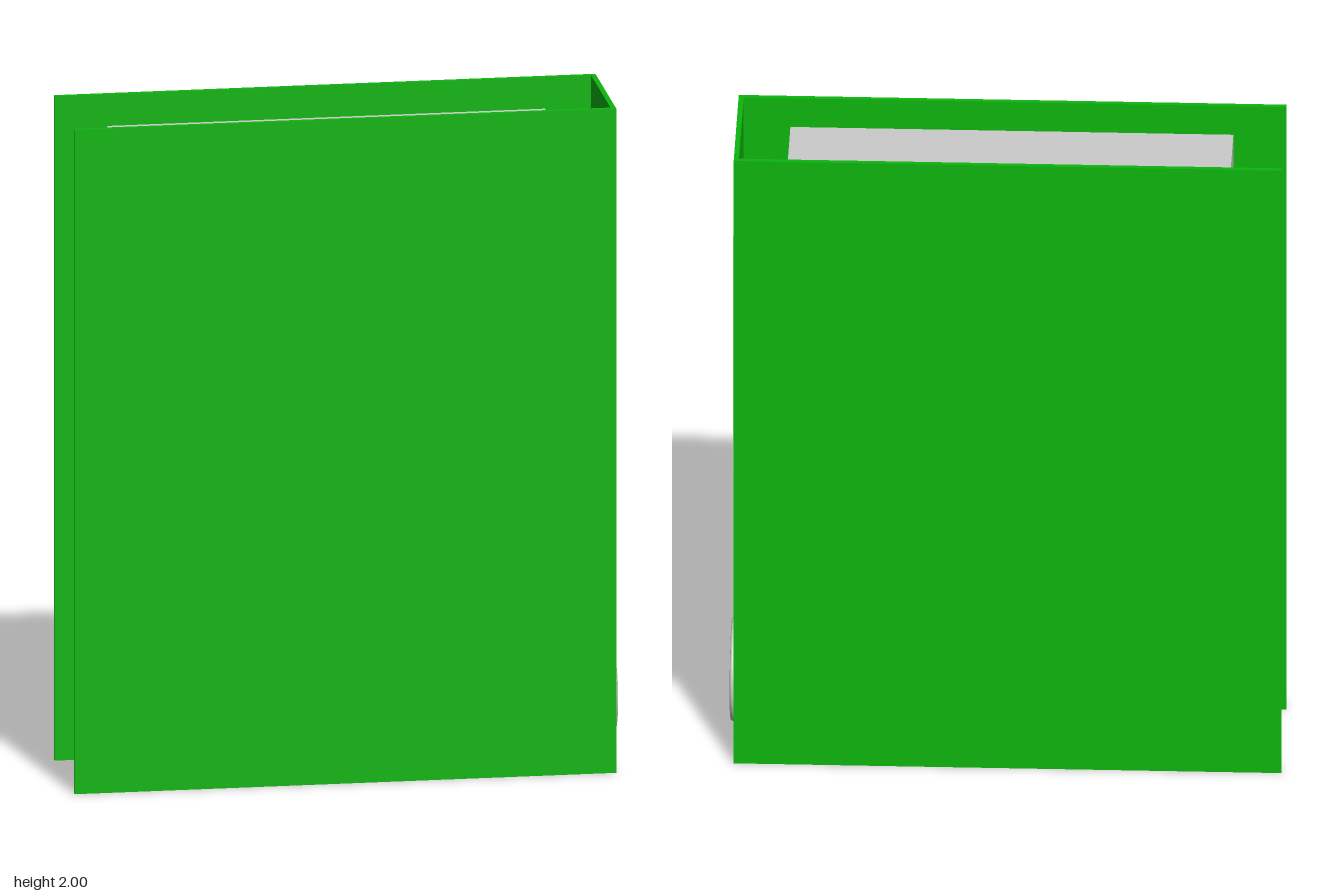
import * as THREE from 'three';

const green = new THREE.MeshStandardMaterial({ color: 0x0db50d });
const grey = new THREE.MeshStandardMaterial({ color: 0xcccccc });
const dark = new THREE.MeshStandardMaterial({ color: 0x222222 });

const LEFT = -0.805, SPINE = 0.79, HEIGHT = 2, DEPTH = 0.4, BOARD = 0.015;
const HOLE_Y = 0.205, RING_R = 0.145, RING_TUBE = 0.0075;

export function createModel() {
  const binder = new THREE.Group();
  binder.name = 'ringBinder';

  const add = (name, geometry, material, x, y, z) => {
    const mesh = new THREE.Mesh(geometry, material);
    mesh.name = name;
    mesh.position.set(x, y, z);
    binder.add(mesh);
    return mesh;
  };

  // Front and back cover boards
  for (const [name, side] of [['frontCover', 1], ['backCover', -1]]) {
    add(name, new THREE.BoxGeometry(SPINE - LEFT, HEIGHT, BOARD), green,
      (SPINE + LEFT) / 2, HEIGHT / 2, side * (DEPTH - BOARD) / 2);
  }

  // Spine board with the finger hole cut through it
  const half = DEPTH / 2 - BOARD;
  const outline = new THREE.Shape([
    new THREE.Vector2(-half, 0), new THREE.Vector2(half, 0),
    new THREE.Vector2(half, HEIGHT), new THREE.Vector2(-half, HEIGHT),
  ]);
  outline.holes.push(new THREE.Path().absarc(0, HOLE_Y, RING_R, 0, Math.PI * 2, true));
  const spineGeometry = new THREE.ExtrudeGeometry(outline, {
    depth: BOARD, bevelEnabled: false, curveSegments: 32,
  });
  add('spine', spineGeometry, green, SPINE - BOARD, 0, 0).rotation.y = Math.PI / 2;

  // Metal ring around the finger hole
  add('fingerRing', new THREE.TorusGeometry(RING_R, RING_TUBE, 12, 64), grey,
    SPINE + 0.0065, HOLE_Y, 0).rotation.y = Math.PI / 2;

  // Spine label with three writing lines
  add('label', new THREE.BoxGeometry(0.004, 0.8, 0.306), grey, SPINE + 0.001, 1.325, 0);
  for (const y of [1.12, 1.32, 1.52]) {
    add('labelLine', new THREE.BoxGeometry(0.004, 0.007, 0.214), dark, SPINE + 0.002, y, 0);
  }

  // Stack of paper between the covers
  add('paperStack', new THREE.BoxGeometry(1.29, 1.81, DEPTH - 2 * BOARD), grey, -0.006, 1, 0);

  return binder;
}
